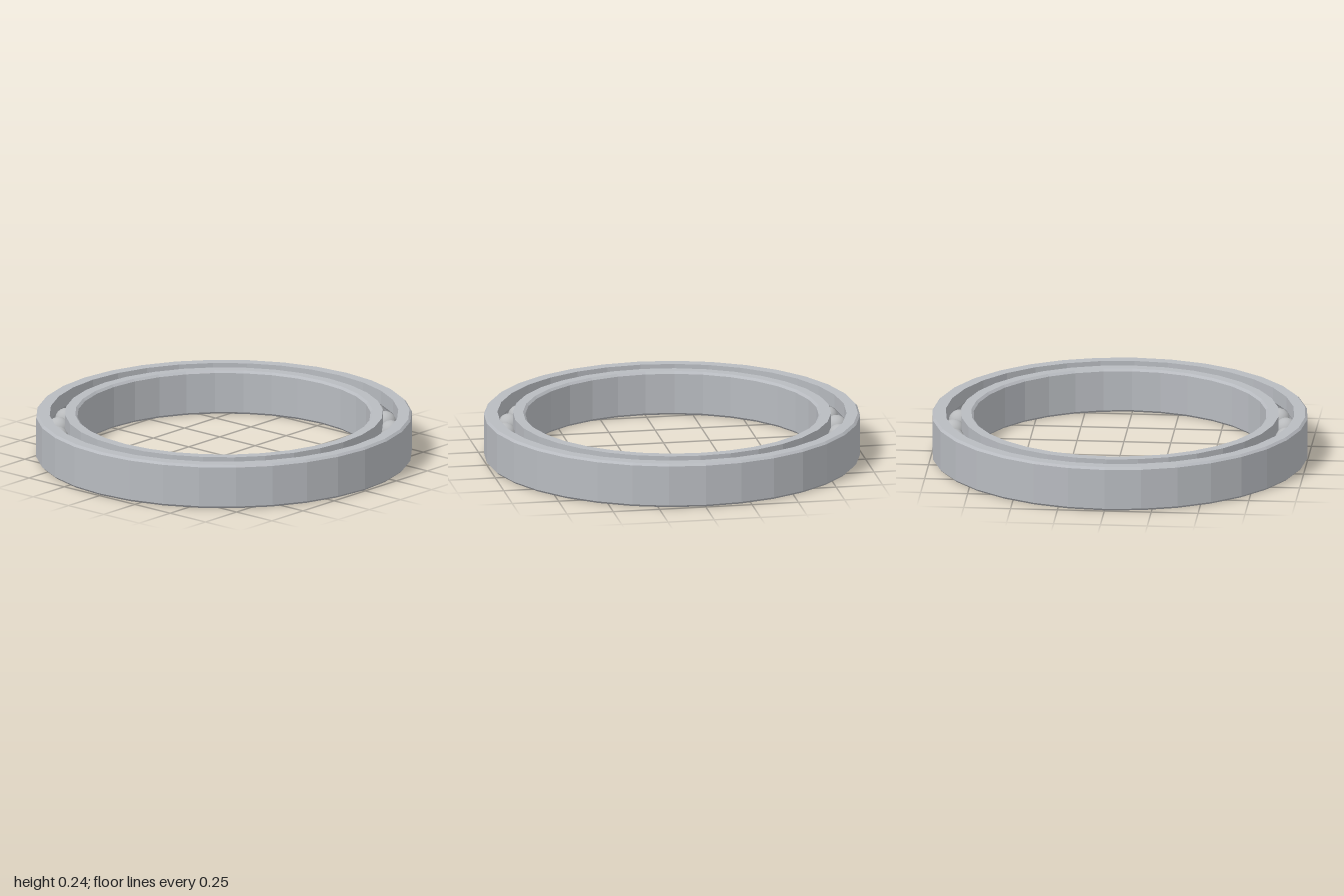
import * as THREE from 'three';

const HEIGHT = 0.24, MID = HEIGHT / 2, CHAMFER = 0.012;
const COUNT = 32;            // ring sides and number of balls
const PITCH = 0.887, BALL = 0.058;

const ringSteel = new THREE.MeshStandardMaterial({ color: 0xb8bbc0, flatShading: true });
ringSteel.name = 'ring steel';
const ballSteel = new THREE.MeshStandardMaterial({ color: 0xb8babc });
ballSteel.name = 'ball steel';

// Race ring: chamfered plain wall on one side, round ball groove on the other
function raceRing(name, plain, race) {
  const out = Math.sign(plain - race);
  const grooveRadius = BALL + 0.002;
  const half = Math.acos(Math.abs(race - PITCH) / grooveRadius);
  const pts = [
    [race, 0], [plain - out * CHAMFER, 0], [plain, CHAMFER],
    [plain, HEIGHT - CHAMFER], [plain - out * CHAMFER, HEIGHT], [race, HEIGHT],
  ];
  for (let i = 0; i <= 8; i++) {
    const a = half * (1 - i / 4);
    pts.push([PITCH + out * grooveRadius * Math.cos(a), MID + grooveRadius * Math.sin(a)]);
  }
  pts.push([race, 0]);
  if (out < 0) pts.reverse();
  const profile = pts.map(([r, y]) => new THREE.Vector2(r, y));
  const ring = new THREE.Mesh(new THREE.LatheGeometry(profile, COUNT), ringSteel);
  ring.name = name;
  return ring;
}

export function createModel() {
  const model = new THREE.Group();
  model.name = 'ballBearing';
  model.add(raceRing('outerRing', 1, 0.928), raceRing('innerRing', 0.78, 0.846));

  // Balls evenly spaced between the rings
  const balls = new THREE.Group();
  balls.name = 'balls';
  const sphere = new THREE.SphereGeometry(BALL, 24, 16);
  for (let i = 0; i < COUNT; i++) {
    const a = (i / COUNT) * Math.PI * 2;
    const ball = new THREE.Mesh(sphere, ballSteel);
    ball.name = 'ball';
    ball.position.set(PITCH * Math.sin(a), MID, PITCH * Math.cos(a));
    balls.add(ball);
  }
  model.add(balls);
  return model;
}
